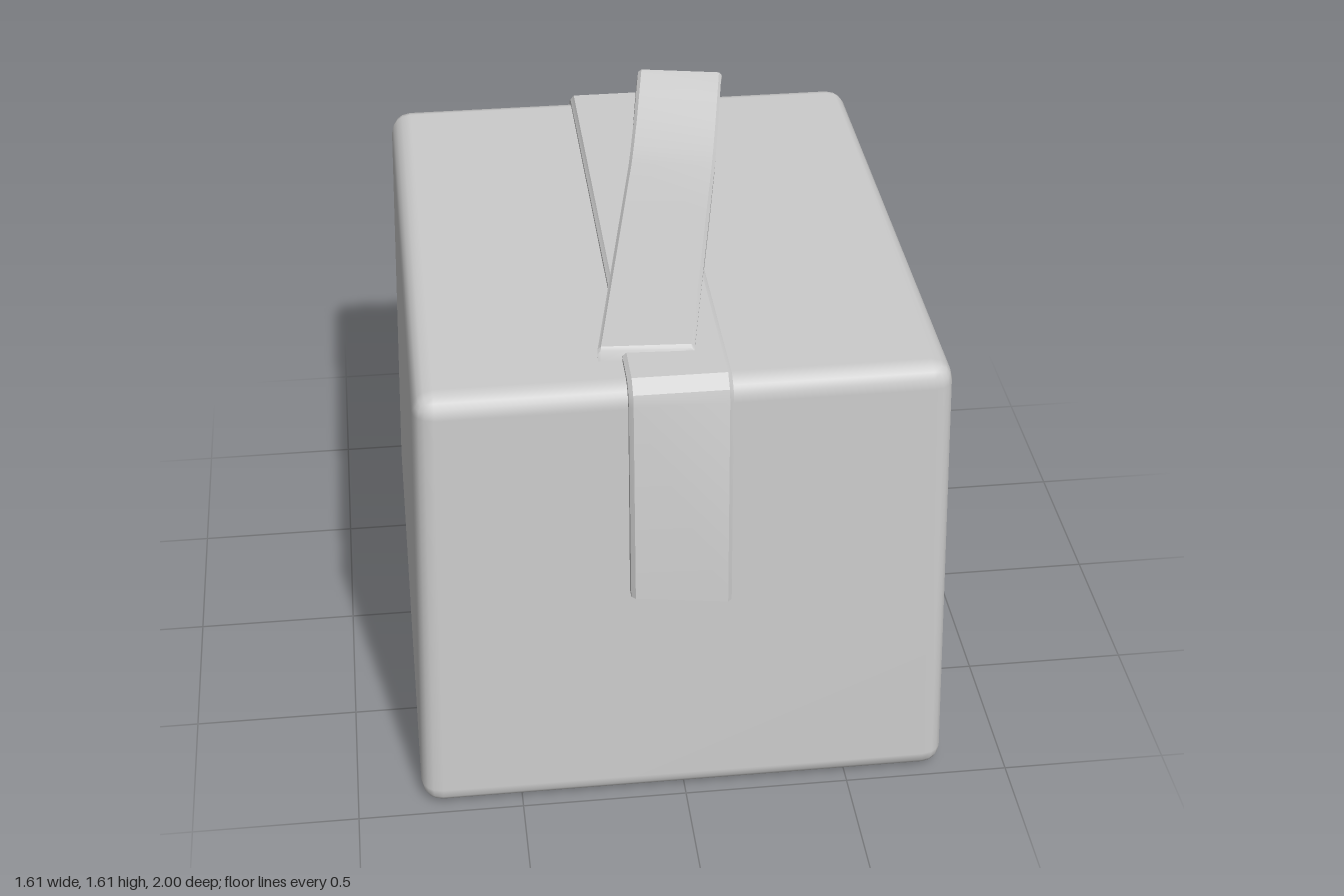
import * as THREE from 'three';
import { mergeVertices, toCreasedNormals } from 'three/addons/utils/BufferGeometryUtils.js';
import { RoundedBoxGeometry } from 'three/addons/geometries/RoundedBoxGeometry.js';

const grey = () => new THREE.MeshStandardMaterial({ color: 0xcccccc, side: THREE.DoubleSide });

// Joins cross-section loops (arrays of [x, y, z]) into a skin, optionally closed with end caps
function loft(sections, closed) {
  const n = sections[0].length;
  const index = [];
  const last = (sections.length - 1) * n;
  for (let s = 0; s < sections.length - 1; s++) {
    for (let i = 0; i < (closed ? n : n - 1); i++) {
      const a = s * n + i, b = s * n + (i + 1) % n;
      index.push(a, b, a + n, b, b + n, a + n);
    }
  }
  if (closed) {
    for (let i = 1; i < n - 1; i++) index.push(0, i + 1, i, last, last + i, last + i + 1);
  }
  const g = new THREE.BufferGeometry();
  g.setAttribute('position', new THREE.Float32BufferAttribute(sections.flat(2), 3));
  g.setIndex(index);
  return toCreasedNormals(g, 0.6);
}

function part(name, geometry) {
  const mesh = new THREE.Mesh(geometry, grey());
  mesh.name = name;
  return mesh;
}

// Rounded carton that narrows towards the top
function cartonGeometry() {
  const h = 1.445;
  let g = new RoundedBoxGeometry(1.614, h, 1.916, 2, 0.065);
  g.translate(0, h / 2, 0);
  const p = g.attributes.position;
  for (let i = 0; i < p.count; i++) {
    const k = 1 - 0.051 * p.getY(i) / h;
    p.setXYZ(i, p.getX(i) * k, p.getY(i), p.getZ(i) * k + 0.022);
  }
  g.deleteAttribute('normal');
  g.deleteAttribute('uv');
  g = mergeVertices(g);
  g.computeVertexNormals();
  return g;
}

// Long strip folded over the top: hollow channel with slanted, open ends
function foldedStripGeometry() {
  const x0 = -0.165, x1 = 0.13, b = 0.012;
  // outer z, outer y, inner z, inner y, slant of the end
  const path = [
    [1.0, 0.748, 0.95, 0.748, -0.017],
    [0.96, 1.4, 0.92, 1.39, 0],
    [0.95, 1.435, 0.905, 1.41, 0],
    [0.91, 1.468, 0.88, 1.43, 0],
    [-0.86, 1.468, -0.83, 1.43, 0],
    [-0.9, 1.44, -0.865, 1.41, 0],
    [-0.915, 1.4, -0.875, 1.39, 0],
    [-0.942, 1.02, -0.895, 1.02, 0],
    [-0.96, 0.91, -0.9, 0.91, 0],
    [-0.978, 0.84, -0.9, 0.84, 0.006],
    [-0.995, 0.783, -0.902, 0.783, 0.017],
  ];
  return loft(path.map(([z, y, iz, iy, slant]) => {
    const len = Math.hypot(z - iz, y - iy);
    const sz = z + (iz - z) * b / len, sy = y + (iy - y) * b / len;
    const at = (x, py, pz, side) => [x, py + slant * side, pz];
    return [
      at(x0, iy, iz, -1), at(x0, sy, sz, -1), at(x0 + b, y, z, -1),
      at(x1 - b, y, z, 1), at(x1, sy, sz, 1), at(x1, iy, iz, 1),
    ];
  }), false);
}

// Loose strip lying askew on top, its rear end peeling upwards
function looseStripGeometry() {
  const t = 0.04, b = 0.01;
  // position along the strip, top height, backward shift of the underside
  const path = [
    [0, 1.475, -0.01], [0.006, 1.484, 0], [0.5, 1.484, 0], [0.72, 1.484, 0.004],
    [0.78, 1.498, 0.008], [0.86, 1.528, 0.012], [0.93, 1.573, 0.018],
    [0.98, 1.607, 0.018], [0.992, 1.612, 0.014], [1, 1.603, 0.004],
  ];
  return loft(path.map(([u, y, shift]) => {
    const l = [-0.235 + 0.29 * u, 0.77 - 1.52 * u];
    const r = [0.04 + 0.285 * u, 0.785 - 1.48 * u];
    const at = (w, drop) => {
      const k = drop / t;
      return [l[0] + (r[0] - l[0]) * w - shift * k * 0.2, y - drop,
        l[1] + (r[1] - l[1]) * w - shift * k];
    };
    const e = b / 0.28;
    return [at(e, t), at(0, t - b), at(0, b), at(e, 0),
      at(1 - e, 0), at(1, b), at(1, t - b), at(1 - e, t)];
  }), true);
}

export function createModel() {
  const group = new THREE.Group();
  group.name = 'tapedBox';
  group.add(
    part('carton', cartonGeometry()),
    part('foldedStrip', foldedStripGeometry()),
    part('looseStrip', looseStripGeometry()),
  );
  return group;
}
